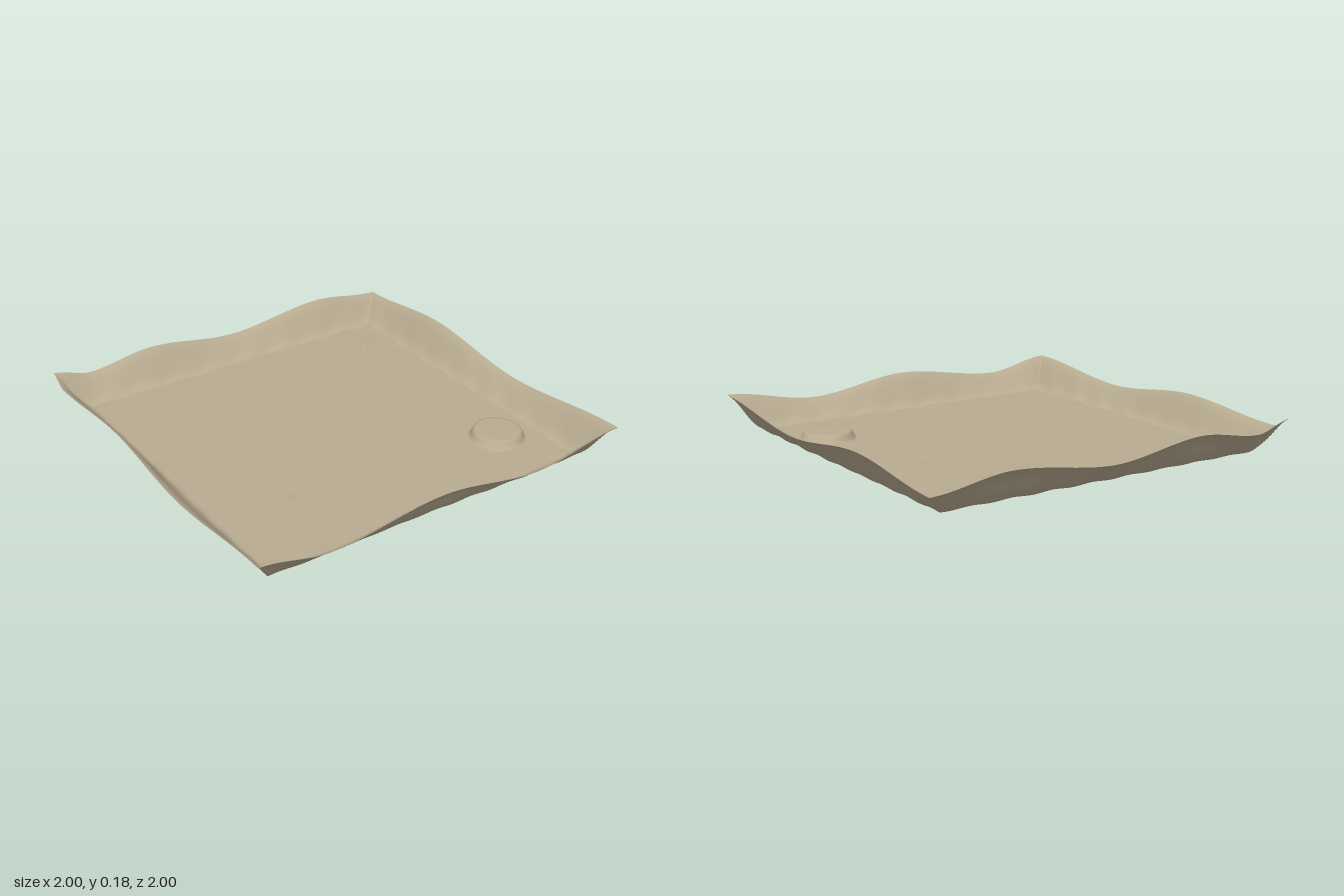
import * as THREE from 'three';

const SEGMENTS = 220;

// Crest heights of the four banks as [position, height] turning points
const banks = {
  front: [[-1, 0.175], [-0.64, 0.112], [-0.04, 0.18], [0.5, 0.108], [1, 0.18]],
  back: [[-1, 0.18], [-0.8, 0.13], [-0.45, 0.175], [0.05, 0.115], [0.6, 0.175], [1, 0.125]],
  left: [[-1, 0.125], [-0.4, 0.18], [0.25, 0.115], [1, 0.18]],
  right: [[-1, 0.18], [-0.9, 0.13], [-0.3, 0.175], [0.3, 0.115], [1, 0.175]],
};

function crest(points, t) {
  let i = 0;
  while (i < points.length - 2 && t > points[i + 1][0]) i++;
  const [a, ha] = points[i], [b, hb] = points[i + 1];
  return ha + (hb - ha) * THREE.MathUtils.smoothstep(t, a, b);
}

function groundHeight(x, z) {
  const smooth = THREE.MathUtils.smoothstep;

  // Diagonal ripples, fading out on a level clearing
  const clearing = smooth(Math.hypot(x + 0.6, z - 0.59), 0.17, 0.25);
  const ripple = 0.0025 * Math.sin(30 * (x + z)) + 0.0012 * Math.sin(26 * x) * Math.sin(26 * z);
  let y = 0.006 + ripple * clearing;

  // Round raised platform with steep sides
  const platform = 1 - smooth(Math.hypot(x - 0.67, z - 0.52), 0.115, 0.14);
  y = THREE.MathUtils.lerp(y, 0.045, platform);

  // Small oblong mound
  const u = (x - 0.7 - (z + 0.65)) * 0.7071, v = (x - 0.7 + z + 0.65) * 0.7071;
  y += 0.008 * Math.exp(-(u * u) / 0.004 - (v * v) / 0.0008);

  // Banks around the edge, mitred at the corners
  const sideways = Math.abs(x) > Math.abs(z);
  const edge = sideways ? Math.abs(x) : Math.abs(z);
  const points = sideways ? (x > 0 ? banks.left : banks.right) : (z > 0 ? banks.front : banks.back);
  const top = crest(points, sideways ? z : x);
  return Math.max(0, THREE.MathUtils.lerp(y, top, smooth(edge, 0.86, 1.01)));
}

export function createModel() {
  const model = new THREE.Group();
  model.name = 'terrain';

  const sand = new THREE.MeshStandardMaterial({ color: 0xb8ab91, side: THREE.DoubleSide });
  sand.name = 'sand';

  // One continuous sheet of ground shaped by the height rule
  const geometry = new THREE.PlaneGeometry(2, 2, SEGMENTS, SEGMENTS).rotateX(-Math.PI / 2);
  const position = geometry.attributes.position;
  for (let i = 0; i < position.count; i++) {
    position.setY(i, groundHeight(position.getX(i), position.getZ(i)));
  }
  geometry.computeVertexNormals();

  const ground = new THREE.Mesh(geometry, sand);
  ground.name = 'ground';
  model.add(ground);
  return model;
}
